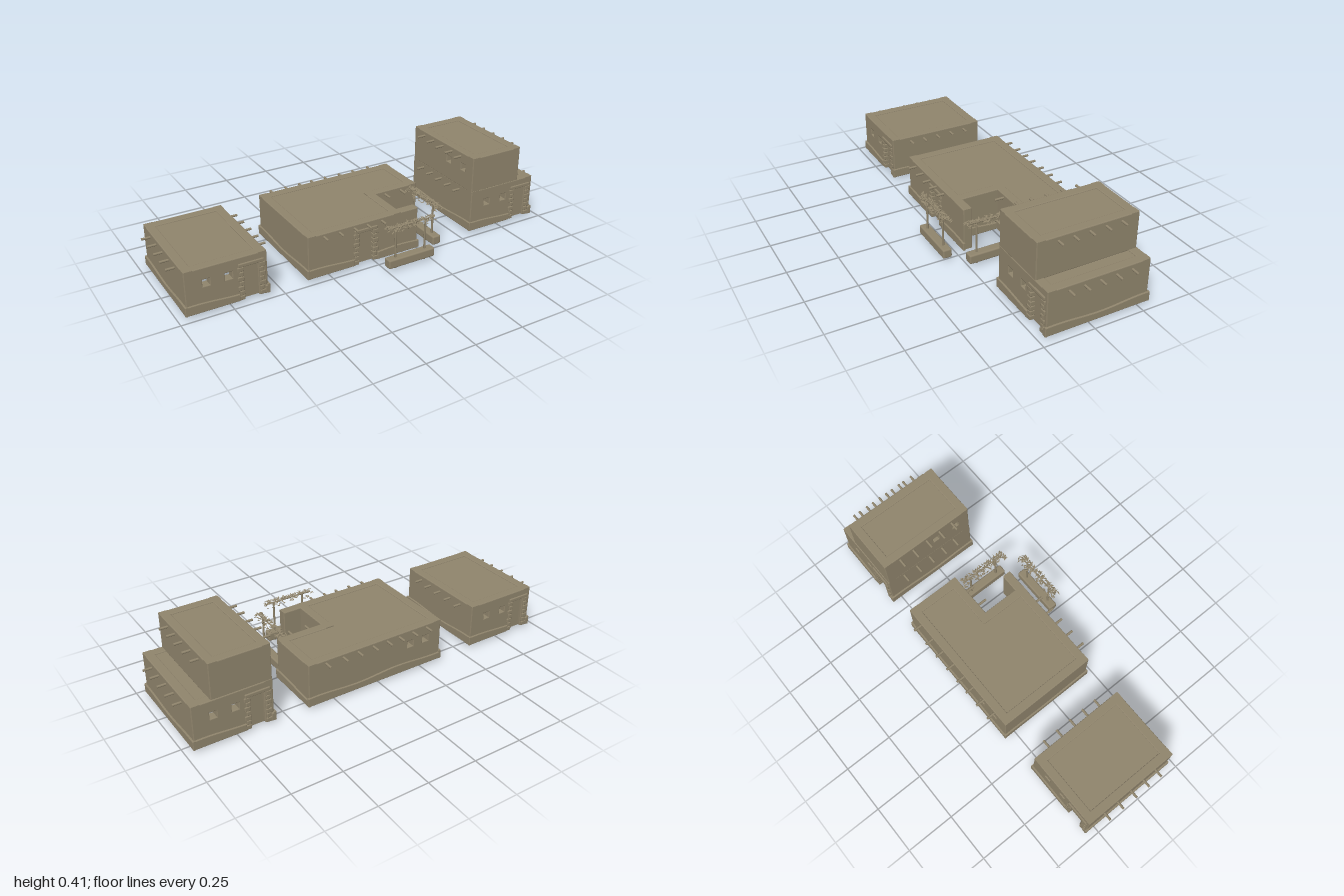
import * as THREE from 'three';
import { mergeGeometries } from 'three/addons/utils/BufferGeometryUtils.js';
import { RoundedBoxGeometry } from 'three/addons/geometries/RoundedBoxGeometry.js';

const adobe = new THREE.MeshStandardMaterial({ color: 0x8f846c });
adobe.name = 'adobe clay';

const GROUND = 0.014, WALL_H = 0.216, T = 0.045;
const DOOR_H = 0.168, WIN = 0.017;

let seed = 7;
const rnd = () => (seed = (seed * 16807) % 2147483647) / 2147483647;

function add(parent, geometry, name, x = 0, y = 0, z = 0) {
  const mesh = new THREE.Mesh(geometry, adobe);
  mesh.name = name;
  mesh.position.set(x, y, z);
  parent.add(mesh);
  return mesh;
}

function extrude(shape, depth, bevel) {
  return new THREE.ExtrudeGeometry(shape, {
    depth: depth - 2 * bevel, bevelThickness: bevel, bevelSize: bevel,
    bevelOffset: -bevel, bevelSegments: 2, curveSegments: 4,
  }).translate(0, 0, bevel);
}

// Recessed door with staggered stone jambs and a lintel
function addDoor(wall, d0, d1) {
  add(wall, new THREE.BoxGeometry(d1 - d0 + 0.01, DOOR_H + 0.005, 0.012), 'door', (d0 + d1) / 2, DOOR_H / 2, -0.022);
  const courses = 7, h = DOOR_H / courses;
  for (let i = 0; i < courses; i++) {
    const w = i % 2 ? 0.022 : 0.03;
    for (const [edge, s] of [[d0, -1], [d1, 1]]) {
      add(wall, new RoundedBoxGeometry(w, h * 0.93, 0.03, 1, 0.004), 'jambStone',
        edge + s * (w / 2 - 0.005), (i + 0.5) * h, -0.008);
    }
  }
  add(wall, new RoundedBoxGeometry(d1 - d0 + 0.04, 0.018, 0.03, 1, 0.004), 'lintel', (d0 + d1) / 2, DOOR_H + 0.008, -0.008);
}

// One wall: local x runs along it and its outer face looks to local +z
function addWall(parent, name, length, x, z, turn, { y = GROUND, height = WALL_H, windows = [], door, plinth = true } = {}) {
  const wall = new THREE.Group();
  wall.name = name;
  wall.position.set(x, y, z);
  wall.rotation.y = turn;
  parent.add(wall);

  const outline = [[0, 0]];
  if (door) outline.push([door[0], 0], [door[0], DOOR_H], [door[1], DOOR_H], [door[1], 0]);
  outline.push([length, 0], [length, height], [0, height]);
  const shape = new THREE.Shape(outline.map(p => new THREE.Vector2(...p)));
  for (const [wx, wy] of windows) {
    const hole = new THREE.Path();
    hole.moveTo(wx - WIN, wy - WIN).lineTo(wx - WIN, wy + WIN).lineTo(wx + WIN, wy + WIN).lineTo(wx + WIN, wy - WIN);
    hole.closePath();
    shape.holes.push(hole);
  }
  add(wall, extrude(shape, T, 0.004), name + 'Panel', 0, 0, -T);
  if (door) addDoor(wall, ...door);

  // Wavy plaster plinth, interrupted by the door
  if (!plinth) return;
  const ends = door ? [[-0.008, door[0] - 0.02], [door[1] + 0.02, length + 0.008]] : [[-0.008, length + 0.008]];
  for (const [a, b] of ends) {
    if (b - a < 0.01) continue;
    const base = new THREE.Shape();
    base.moveTo(a, 0).lineTo(b, 0);
    const n = Math.max(2, Math.ceil((b - a) / 0.03));
    for (let i = 0; i <= n; i++) {
      const px = b + (a - b) * i / n;
      base.lineTo(px, 0.04 + 0.006 * Math.sin(px * 14 + 1));
    }
    add(wall, extrude(base, 0.014, 0.003), 'plinth', 0, 0, -0.006);
  }
}

// Four walls around a rectangle, with options for each side
function addRoom(parent, [x0, x1, z0, z1], sides = {}, common = {}) {
  const w = x1 - x0, d = z1 - z0;
  addWall(parent, 'frontWall', w, x0, z1, 0, { ...common, ...sides.front });
  addWall(parent, 'backWall', w, x1, z0, Math.PI, { ...common, ...sides.back });
  addWall(parent, 'leftWall', d, x1, z1, Math.PI / 2, { ...common, ...sides.left });
  addWall(parent, 'rightWall', d, x0, z0, -Math.PI / 2, { ...common, ...sides.right });
}

function addRoof(parent, [x0, x1, z0, z1], top) {
  add(parent, new THREE.BoxGeometry(x1 - x0 - T, 0.012, z1 - z0 - T), 'roof',
    (x0 + x1) / 2, top - 0.011, (z0 + z1) / 2);
}

// Round roof beam along x or z
function addBeam(parent, axis, from, to, y, other) {
  const g = new THREE.CylinderGeometry(0.006, 0.006, to - from, 10);
  const mid = (from + to) / 2;
  if (axis === 'x') add(parent, g.rotateZ(Math.PI / 2), 'roofBeam', mid, y, other);
  else add(parent, g.rotateX(Math.PI / 2), 'roofBeam', other, y, mid);
}

const BEAM_Z = [0.11, 0.035, -0.043, -0.124, -0.204];

function smallHouse(name, cx) {
  const house = new THREE.Group();
  house.name = name;
  const rect = [cx - 0.195, cx + 0.195, -0.297, 0.215];
  const face = { windows: [[0.1, 0.14], [0.205, 0.14]], door: [0.27, 0.355] };
  addRoom(house, rect, { front: face, back: face });
  addRoof(house, rect, GROUND + WALL_H);
  for (const z of BEAM_Z) addBeam(house, 'x', cx - 0.2375, cx + 0.2375, 0.205, z);
  return house;
}

// Planter with two posts, a rail and a straggling vine, running along x
function trellis(name, length) {
  const g = new THREE.Group();
  g.name = name;
  add(g, new RoundedBoxGeometry(length, 0.047, 0.046, 2, 0.008), 'planter', 0, 0.036, 0);
  for (const s of [-1, 1]) {
    add(g, new THREE.CylinderGeometry(0.005, 0.006, 0.217, 8), 'post', s * length * 0.32, 0.1085, 0);
  }
  add(g, new THREE.CylinderGeometry(0.004, 0.004, length, 6).rotateZ(Math.PI / 2), 'rail', 0, 0.218, 0);
  const leaves = [];
  for (let i = 0; i < 150; i++) {
    const side = rnd() * 2 - 1;
    const leaf = new THREE.OctahedronGeometry(1).scale(0.011, 0.002, 0.004);
    leaf.rotateZ((rnd() - 0.5) * 1.2).rotateY(rnd() * 6.28);
    leaf.translate((rnd() - 0.5) * length * 1.04, 0.228 - 0.022 * side * side + (rnd() - 0.5) * 0.014, side * 0.024);
    leaves.push(leaf);
  }
  add(g, mergeGeometries(leaves), 'vineLeaves');
  return g;
}

export function createModel() {
  const village = new THREE.Group();
  village.name = 'adobeVillage';

  // Single-storey house
  village.add(smallHouse('rightHouse', -0.7625));

  // Two-storey house
  const tall = smallHouse('leftHouse', 0.7625);
  const upper = new THREE.Group();
  upper.name = 'upperStorey';
  tall.add(upper);
  const upRect = [0.567, 0.862, -0.293, 0.213];
  addRoom(upper, upRect, { right: { windows: [[0.305, 0.11], [0.425, 0.11]] } }, { y: 0.226, height: 0.184, plinth: false });
  addRoof(upper, upRect, 0.41);
  for (const z of BEAM_Z) addBeam(upper, 'x', 0.52, 0.902, 0.388, z);
  village.add(tall);

  // L-shaped house with a short porch wall
  const hall = new THREE.Group();
  hall.name = 'middleHouse';
  const [x0, x1, xi, z0, zi, z1] = [-0.362, 0.388, 0.145, -0.302, -0.018, 0.215];
  addWall(hall, 'frontWall', 0.24 - x0, x0, z1, 0, { door: [0.265, 0.352] });
  addWall(hall, 'backWall', x1 - x0, x1, z0, Math.PI, { windows: [[0.57, 0.14], [0.66, 0.14]] });
  addWall(hall, 'rightWall', z1 - z0, x0, z0, -Math.PI / 2);
  addWall(hall, 'leftWall', zi - z0, x1, zi, Math.PI / 2);
  addWall(hall, 'courtSideWall', z1 - zi + T, xi, z1, Math.PI / 2);
  addWall(hall, 'courtBackWall', x1 - xi + T, xi - T, zi, 0);
  addRoof(hall, [x0, xi, z0, z1], GROUND + WALL_H);
  addRoof(hall, [xi - T, x1, z0, zi], GROUND + WALL_H);
  for (const x of [-0.277, -0.195, -0.115, -0.045, 0.035]) addBeam(hall, 'z', -0.345, 0.255, 0.213, x);
  addBeam(hall, 'z', -0.345, -0.2, 0.213, 0.12);
  for (const x of [0.202, 0.295]) addBeam(hall, 'z', -0.345, 0.03, 0.213, x);
  village.add(hall);

  // Garden trellises
  const frontTrellis = trellis('frontTrellis', 0.26);
  frontTrellis.position.set(0.135, 0, 0.312);
  const sideTrellis = trellis('sideTrellis', 0.25);
  sideTrellis.position.set(0.34, 0, 0.122);
  sideTrellis.rotation.y = Math.PI / 2;
  village.add(frontTrellis, sideTrellis);

  return village;
}
